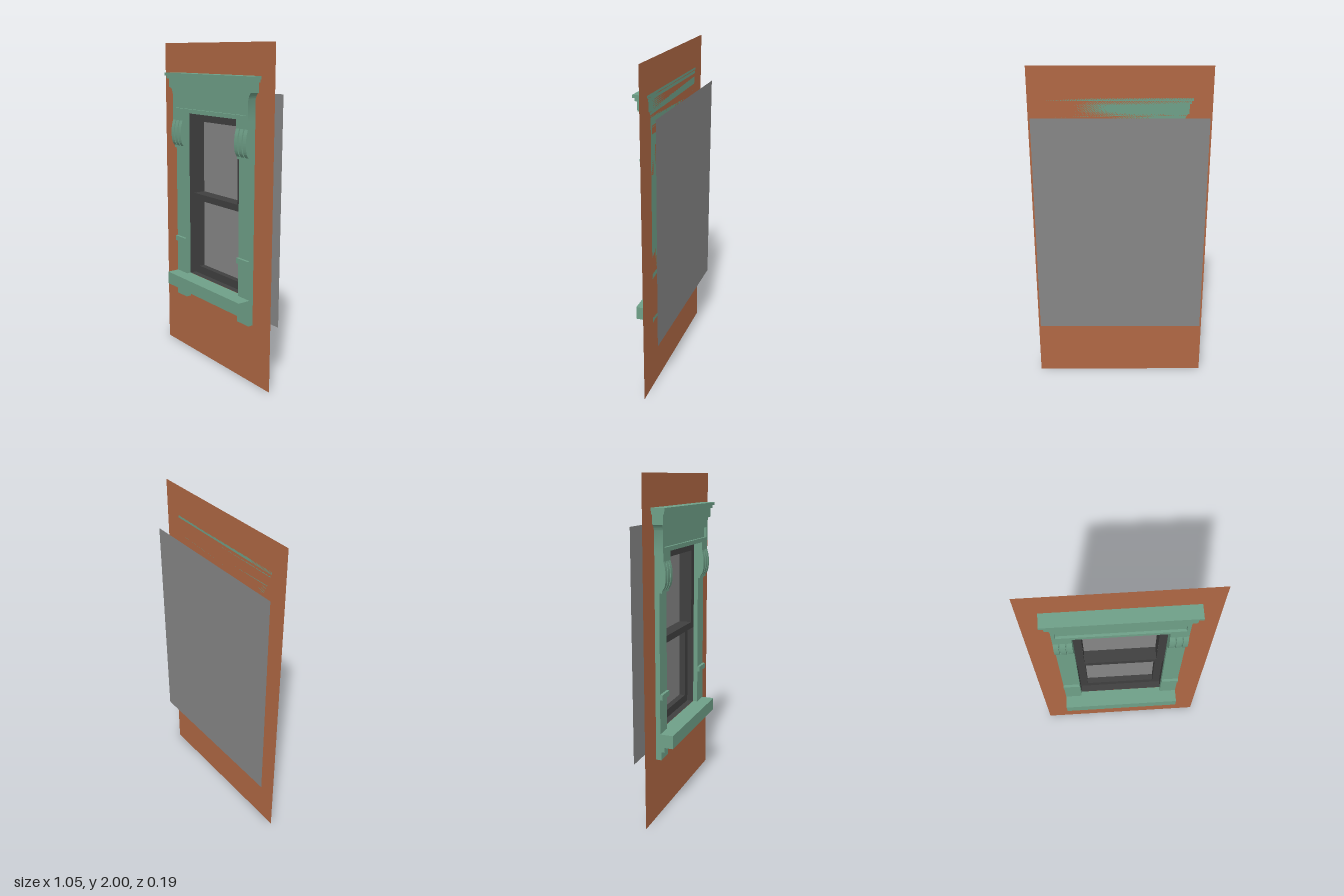
import * as THREE from 'three';
import { toCreasedNormals } from 'three/addons/utils/BufferGeometryUtils.js';

const paint = new THREE.MeshStandardMaterial({ color: 0x6fa088 });
const brick = new THREE.MeshStandardMaterial({ color: 0xb06844, side: THREE.DoubleSide });
const dark = new THREE.MeshStandardMaterial({ color: 0x404040, side: THREE.DoubleSide });
const glass = new THREE.MeshStandardMaterial({ color: 0x868686, side: THREE.DoubleSide });

const WALL = -0.013; // wall plane
const MID = -0.055;  // front of the lower sash
const BACK = -0.093; // glass plane

const rectPoints = (w, y0, y1) => [[-w, y0], [w, y0], [w, y1], [-w, y1]].map(p => new THREE.Vector2(...p));

// Rectangle of half width w, with an optional rectangular hole
function rectShape(w, y0, y1, hole) {
  const s = new THREE.Shape(rectPoints(w, y0, y1));
  if (hole) s.holes.push(new THREE.Path(rectPoints(...hole)));
  return s;
}

// Open four-sided lining running from z0 back to z1
function lining(w, y0, y1, z0, z1) {
  const pos = [], idx = [];
  const pts = rectPoints(w, y0, y1);
  pts.forEach((a, i) => {
    const b = pts[(i + 1) % 4], n = i * 4;
    pos.push(a.x, a.y, z0, b.x, b.y, z0, b.x, b.y, z1, a.x, a.y, z1);
    idx.push(n, n + 1, n + 2, n, n + 2, n + 3);
  });
  const g = new THREE.BufferGeometry();
  g.setAttribute('position', new THREE.Float32BufferAttribute(pos, 3));
  g.setIndex(idx);
  g.computeVertexNormals();
  return g;
}

// Side profile in (z, y), extruded from x0 to x1
function sideExtrude(shape, x0, x1) {
  const g = new THREE.ExtrudeGeometry(shape, { depth: x1 - x0, bevelEnabled: false });
  g.rotateY(-Math.PI / 2).translate(x1, 0, 0);
  return toCreasedNormals(g, 0.5);
}

function bracketShape(inset) {
  const s = new THREE.Shape();
  s.moveTo(WALL, 1.37);
  s.lineTo(0.033 - inset, 1.37);
  const curve = [[0.047, 1.395], [0.053, 1.44], [0.05, 1.49], [0.04, 1.53]];
  s.splineThru(curve.map(([z, y], i) => new THREE.Vector2(z - (i < 3 ? inset : 0), y)));
  s.lineTo(WALL, 1.53);
  return s;
}

export function createModel() {
  const model = new THREE.Group();
  const add = (name, geo, mat, parent = model) => {
    const m = new THREE.Mesh(geo, mat);
    m.name = name;
    parent.add(m);
    return m;
  };
  const box = (name, x0, x1, y0, y1, z1, parent) => {
    const g = new THREE.BoxGeometry(x1 - x0, y1 - y0, z1 - WALL);
    g.translate((x0 + x1) / 2, (y0 + y1) / 2, (z1 + WALL) / 2);
    return add(name, g, paint, parent);
  };
  const flat = (name, shape, z, mat, parent) =>
    add(name, new THREE.ShapeGeometry(shape).translate(0, 0, z), mat, parent);

  // Wall with opening, and the pane behind it
  flat('wall', rectShape(0.525, 0, 2, [0.264, 0.531, 1.579]), WALL, brick);
  flat('windowPane', rectShape(0.504, 0.38, 1.724), BACK, glass);

  // Double-hung window: forward upper sash, recessed lower sash
  const win = new THREE.Group();
  win.name = 'windowFrame';
  model.add(win);
  add('frameLining', lining(0.264, 0.53, 1.58, WALL, MID), dark, win);
  flat('upperSash', rectShape(0.264, 1.035, 1.58, [0.217, 1.075, 1.532]), WALL + 0.001, dark, win);
  add('upperSashReveal', lining(0.217, 1.075, 1.532, WALL, BACK + 0.001), dark, win);
  flat('lowerSash', rectShape(0.264, 0.53, 1.075, [0.217, 0.58, 1.035]), MID, dark, win);
  add('lowerSashReveal', lining(0.217, 0.58, 1.035, MID, BACK + 0.001), dark, win);
  const under = new THREE.PlaneGeometry(0.528, WALL - MID).rotateX(Math.PI / 2);
  add('meetingRailUnderside', under.translate(0, 1.035, (WALL + MID) / 2), dark, win);

  // Pilasters with feet, bands and scrolled brackets on both sides
  for (const s of [1, -1]) {
    const side = new THREE.Group();
    side.name = s > 0 ? 'leftPilaster' : 'rightPilaster';
    const part = (name, y0, y1, z) => {
      const xs = [s * 0.264, s * 0.368].sort((a, b) => a - b);
      box(name, xs[0], xs[1], y0, y1, z, side);
    };
    part('foot', 0.37, 0.42, 0.02);
    part('footCap', 0.42, 0.45, 0.04);
    part('shaft', 0.53, 1.355, 0.015);
    part('band', 0.737, 0.77, 0.031);
    part('bracketBase', 1.355, 1.37, 0.03);
    part('bracketTop', 1.53, 1.58, 0.04);
    // Three ribs separated by shallow grooves
    const xa = s > 0 ? 0.264 : -0.368, step = 0.104 / 11;
    for (let i = 0; i < 5; i++) {
      const groove = i % 2 === 1;
      const start = [0, 3, 4, 7, 8][i], end = [3, 4, 7, 8, 11][i];
      add(groove ? 'bracketGroove' : 'bracketRib',
        sideExtrude(bracketShape(groove ? 0.01 : 0), xa + start * step, xa + end * step), paint, side);
    }
    model.add(side);
  }

  box('sill', -0.368, 0.368, 0.45, 0.53, 0.093);

  // Frieze with coved ends and a recessed panel
  const frieze = new THREE.Shape();
  frieze.moveTo(-0.368, 1.58);
  frieze.lineTo(0.368, 1.58);
  frieze.lineTo(0.368, 1.69);
  frieze.quadraticCurveTo(0.373, 1.715, 0.388, 1.73);
  frieze.lineTo(-0.388, 1.73);
  frieze.quadraticCurveTo(-0.373, 1.715, -0.368, 1.69);
  frieze.holes.push(new THREE.Path(rectPoints(0.348, 1.605, 1.668)));
  const friezeGeo = new THREE.ExtrudeGeometry(frieze, { depth: 0.04 - WALL, bevelEnabled: false });
  add('frieze', toCreasedNormals(friezeGeo.translate(0, 0, WALL), 0.5), paint);
  box('friezePanel', -0.348, 0.348, 1.605, 1.668, 0.025);

  // Stepped cornice
  [[0.394, 1.73, 1.785, 0.051], [0.405, 1.785, 1.803, 0.06], [0.415, 1.803, 1.82, 0.069]]
    .forEach(([w, y0, y1, z]) => box('cornice', -w, w, y0, y1, z));

  return model;
}
